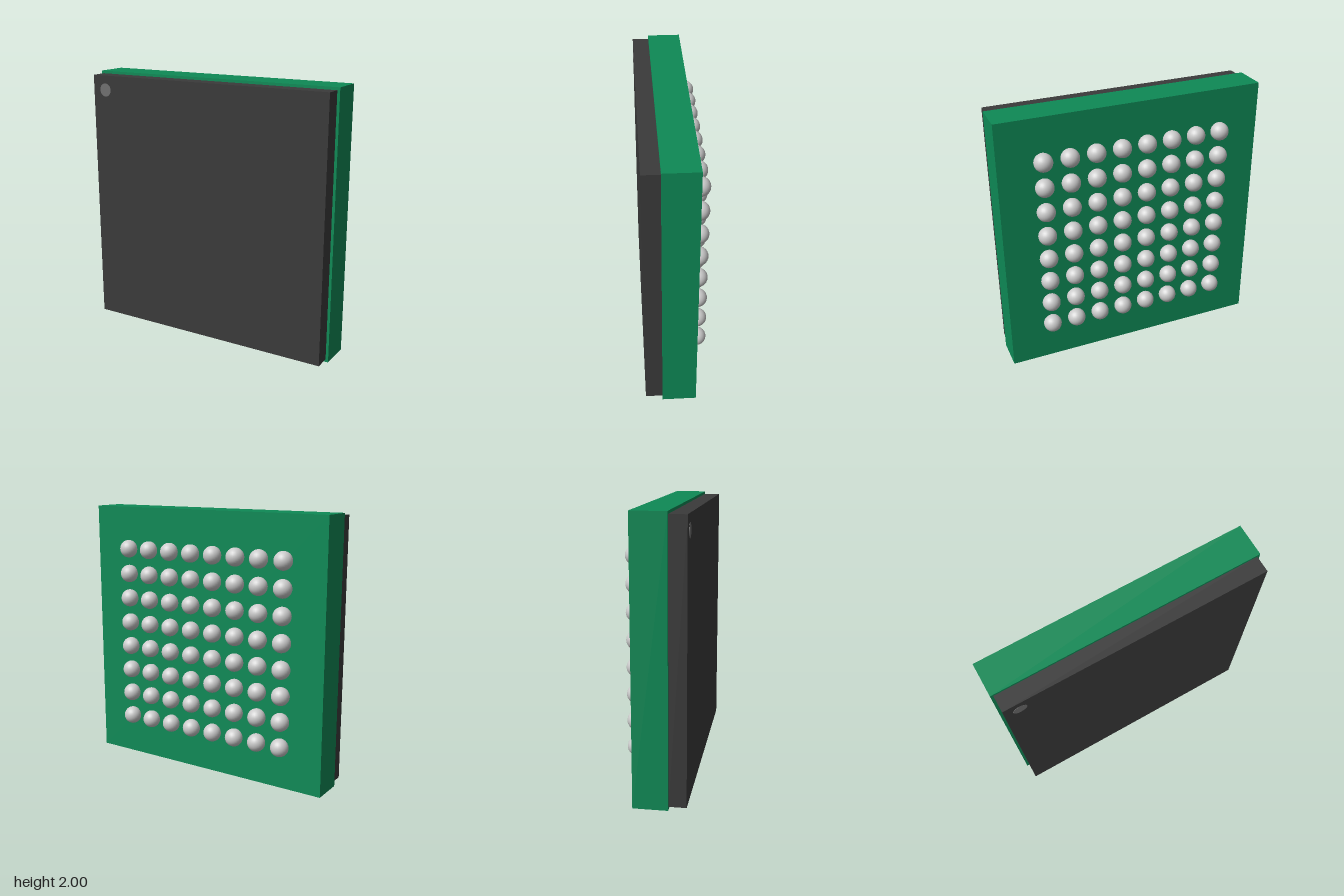
import * as THREE from 'three';

export function createModel() {
  const model = new THREE.Group();
  const material = (color) => new THREE.MeshStandardMaterial({ color });

  const add = (name, geometry, mat, x, y, z, parent = model) => {
    const mesh = new THREE.Mesh(geometry, mat);
    mesh.name = name;
    mesh.position.set(x, y, z);
    parent.add(mesh);
    return mesh;
  };

  // Green circuit board
  const boardBack = -0.138, boardFront = 0.108, capFront = 0.231;
  add('substrate', new THREE.BoxGeometry(2, 2, boardFront - boardBack),
    material(0x0e8a56), 0, 1, (boardFront + boardBack) / 2);

  // Dark moulded cap, slightly smaller than the board
  add('mouldedCap', new THREE.BoxGeometry(1.96, 1.96, capFront - boardFront),
    material(0x3a3a3a), 0, 1, (capFront + boardFront) / 2);

  // Round marker in the upper corner of the cap
  const markerGeometry = new THREE.CylinderGeometry(0.05, 0.05, 0.004, 32).rotateX(Math.PI / 2);
  add('cornerMarker', markerGeometry, material(0x707070), -0.87, 1.87, capFront);

  // 8 x 8 grid of solder balls, partly sunk into the back of the board
  const balls = new THREE.Group();
  balls.name = 'solderBalls';
  model.add(balls);
  const count = 8, pitch = 0.194, radius = 0.068;
  const ballGeometry = new THREE.SphereGeometry(radius, 24, 16);
  const ballMaterial = material(0xcccccc);
  for (let row = 0; row < count; row++) {
    for (let col = 0; col < count; col++) {
      add('solderBall', ballGeometry, ballMaterial,
        (col - (count - 1) / 2) * pitch,
        1 + (row - (count - 1) / 2) * pitch,
        -0.164, balls);
    }
  }

  return model;
}
